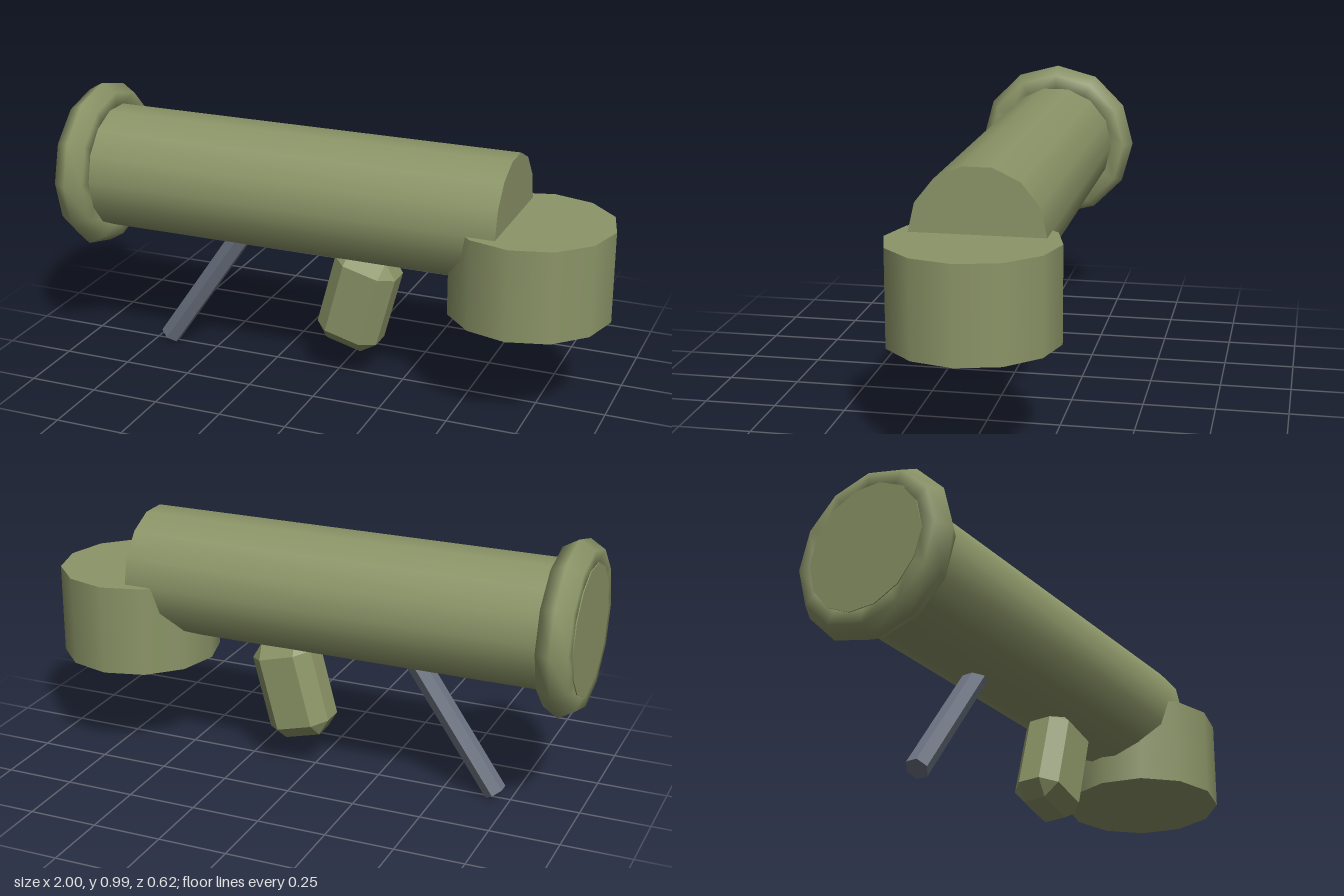
import * as THREE from 'three';
import { ConvexGeometry } from 'three/addons/geometries/ConvexGeometry.js';

const green = new THREE.MeshStandardMaterial({ color: 0x8b9467 });
const greenFlat = new THREE.MeshStandardMaterial({ color: 0x8b9467, flatShading: true });
const steel = new THREE.MeshStandardMaterial({ color: 0x6b7280, flatShading: true });

// Box with every edge and corner cut off by c
function chamferedBox(w, h, d, c) {
  const a = w / 2, b = h / 2, e = d / 2, points = [];
  for (const x of [-1, 1]) for (const y of [-1, 1]) for (const z of [-1, 1]) {
    points.push(
      new THREE.Vector3(x * a, y * (b - c), z * (e - c)),
      new THREE.Vector3(x * (a - c), y * b, z * (e - c)),
      new THREE.Vector3(x * (a - c), y * (b - c), z * e));
  }
  return new ConvexGeometry(points);
}

export function createModel() {
  const model = new THREE.Group();
  model.name = 'shoulderTube';

  const add = (name, geometry, material, x, y, tilt = 0) => {
    const mesh = new THREE.Mesh(geometry, material);
    mesh.name = name;
    mesh.position.set(x, y, 0);
    mesh.rotation.z = tilt;
    model.add(mesh);
    return mesh;
  };

  // Long barrel lying along x
  add('barrel', new THREE.CylinderGeometry(0.228, 0.228, 1.645, 14), green, -0.1775, 0.681, -Math.PI / 2);

  // Thick ring around one end of the barrel
  const ring = new THREE.TorusGeometry(0.245, 0.064, 6, 12).rotateY(Math.PI / 2);
  add('endRing', ring, green, -0.941, 0.681);

  // Upright drum under the other end
  add('drum', new THREE.CylinderGeometry(0.29, 0.29, 0.328, 12), green, 0.71, 0.518);

  // Slanted grip with cut edges
  add('grip', chamferedBox(0.236, 0.37, 0.184, 0.05), greenFlat, 0.081, 0.3, -0.26);

  // Slanted hexagonal support leg, its upper end inside the barrel
  const lean = 0.6, length = 0.6;
  add('supportLeg', new THREE.CylinderGeometry(0.041, 0.041, length, 6), steel,
    -0.694 + Math.sin(lean) * length / 2, 0.02 + Math.cos(lean) * length / 2, -lean);

  return model;
}
